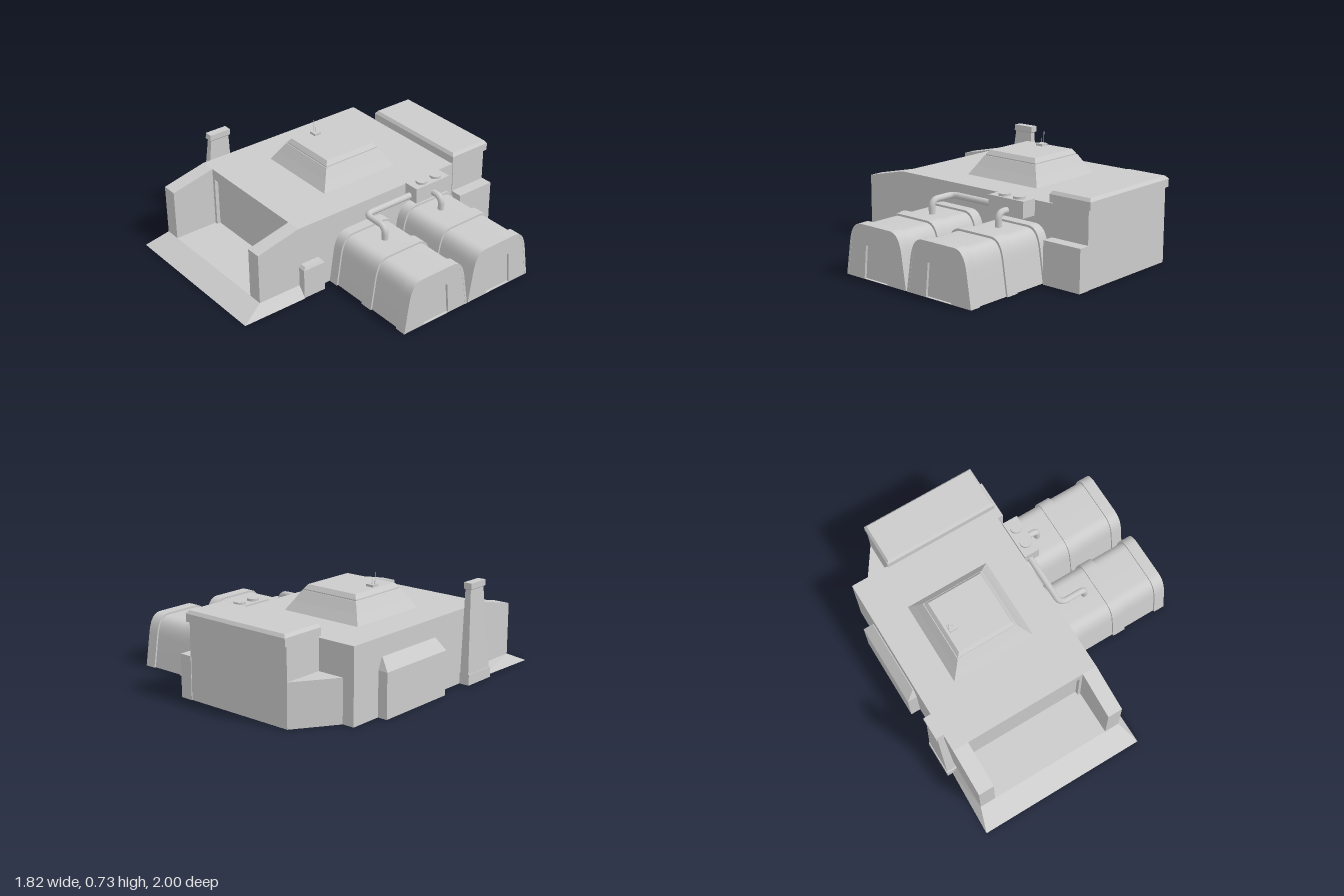
import * as THREE from 'three';
import { toCreasedNormals } from 'three/addons/utils/BufferGeometryUtils.js';

const mat = new THREE.MeshStandardMaterial({ color: 0xcccccc, side: THREE.DoubleSide });

export function createModel() {
  const root = new THREE.Group();

  function add(name, geo, parent = root) {
    const m = new THREE.Mesh(geo, mat);
    m.name = name;
    parent.add(m);
    return m;
  }

  // Flat-shaded surface from convex polygons
  function polys(name, list) {
    const pos = [];
    for (const p of list)
      for (let i = 1; i < p.length - 1; i++) pos.push(...p[0], ...p[i], ...p[i + 1]);
    const g = new THREE.BufferGeometry();
    g.setAttribute('position', new THREE.Float32BufferAttribute(pos, 3));
    g.computeVertexNormals();
    return add(name, g);
  }

  // Stacked rectangles [x0, x1, z0, z1, y], open below, capped on top
  function tiers(name, rects) {
    const loops = rects.map(([a, b, c, d, y]) => [[a, y, d], [b, y, d], [b, y, c], [a, y, c]]);
    const faces = [loops[loops.length - 1]];
    for (let i = 0; i < loops.length - 1; i++)
      for (let j = 0; j < 4; j++) {
        const k = (j + 1) % 4;
        faces.push([loops[i][j], loops[i][k], loops[i + 1][k], loops[i + 1][j]]);
      }
    return polys(name, faces);
  }

  const L = -0.84, R = 0.19, iL = -0.735, iR = 0.09, top = 0.48;
  const quadX = (x, pts) => pts.map(([z, y]) => [x, y, z]);
  const quadZ = (z, x0, x1, y0, y1) => [[x0, y0, z], [x1, y0, z], [x1, y1, z], [x0, y1, z]];
  const quadY = (y, x0, x1, z0, z1) => [[x0, y, z1], [x1, y, z1], [x1, y, z0], [x0, y, z0]];

  // Main hall: side walls run forward into the sloped wings
  const side = [[0.85, 0], [-0.71, 0], [-0.71, top], [0.55, top], [0.85, 0.41]];
  const inner = [[0.55, 0.07], [0.85, 0.07], [0.85, 0.41], [0.55, top]];
  polys('hallWalls', [
    quadX(R, side), quadX(L, side).reverse(),
    quadZ(-0.71, L, R, 0, top).reverse(),
    quadX(iL, inner).reverse(), quadX(iR, inner),
    quadZ(0.85, L, iL, 0.07, 0.41), quadZ(0.85, iR, R, 0.07, 0.41),
    ...[[L, iL], [iR, R]].map(([a, b]) =>
      [[a, 0.41, 0.85], [b, 0.41, 0.85], [b, top, 0.55], [a, top, 0.55]]),
  ]);

  // Roof with an opening under the raised tower
  const tx = -0.3225, tz = -0.1125, th = 0.2875;
  polys('roof', [
    quadY(top, L, tx - th, -0.71, 0.55), quadY(top, tx + th, R, -0.71, 0.55),
    quadY(top, tx - th, tx + th, -0.71, tz - th), quadY(top, tx - th, tx + th, tz + th, 0.55),
  ]);

  // Recessed gate
  polys('gateFrame', [
    quadZ(0.55, iL, -0.715, 0, top), quadZ(0.55, 0.07, iR, 0, top),
    quadZ(0.55, -0.715, 0.07, 0.41, top),
    quadX(-0.715, [[0.55, 0], [0.525, 0], [0.525, 0.41], [0.55, 0.41]]),
    quadX(0.07, [[0.525, 0], [0.55, 0], [0.55, 0.41], [0.525, 0.41]]),
    quadY(0.41, -0.715, 0.07, 0.525, 0.55).reverse(),
  ]);
  polys('gate', [quadZ(0.525, -0.715, 0.07, 0, 0.41)]);

  // Sloped apron around the entrance
  polys('entranceRamp', [
    quadY(0.07, L, R, 0.525, 0.85),
    [[-0.89, 0, 1], [0.245, 0, 1], [R, 0.07, 0.85], [L, 0.07, 0.85]],
    [[0.245, 0, 1], [0.245, 0, 0.55], [R, 0.07, 0.55], [R, 0.07, 0.85]],
    [[-0.875, 0, 0.55], [-0.89, 0, 1], [L, 0.07, 0.85], [L, 0.07, 0.55]],
    [[R, 0, 0.55], [R, 0.07, 0.55], [0.245, 0, 0.55]],
    [[L, 0, 0.55], [-0.875, 0, 0.55], [L, 0.07, 0.55]],
  ]);

  // Raised roof tower
  const ring = (h, y) => [tx - h, tx + h, tz - h, tz + h, y];
  tiers('roofTower', [ring(th, top), ring(0.25, 0.54), ring(0.212, 0.605),
    ring(0.207, 0.605), ring(0.207, 0.612), ring(0.187, 0.64)]);
  tiers('antennaBase', [[-0.49, -0.435, -0.11, -0.06, 0.64], [-0.49, -0.435, -0.11, -0.06, 0.655]]);
  for (const [x, h] of [[-0.485, 0.075], [-0.462, 0.035]])
    add('antenna', new THREE.CylinderGeometry(0.002, 0.002, h, 6)).position.set(x, 0.655 + h / 2, -0.085);

  // Rear annex with bevelled roof slab, side box and corner wedge
  const rear = y => [-0.58, 0.195, -0.98, -0.71, y];
  tiers('rearAnnex', [rear(0), rear(0.49)]);
  tiers('rearRoof', [rear(0.49), [-0.585, 0.205, -1, -0.695, 0.49],
    [-0.585, 0.205, -1, -0.695, 0.54], [-0.57, 0.19, -0.985, -0.71, 0.56]]);
  tiers('rearSideBox', [[0.19, 0.275, -0.985, -0.71, 0], [0.19, 0.275, -0.985, -0.71, 0.275]]);
  polys('rearWedge', [
    [[-0.76, 0, -0.71], [-0.76, 0.28, -0.71], [-0.58, 0.28, -0.98], [-0.58, 0, -0.98]],
    [[-0.76, 0.28, -0.71], [-0.58, 0.28, -0.71], [-0.58, 0.28, -0.98]],
  ]);

  // Side boxes and chimney
  tiers('sideBay', [[-0.905, L, -0.49, 0.08, 0], [-0.905, L, -0.49, 0.08, 0.285],
    [-0.845, L, -0.46, 0.05, 0.36]]);
  tiers('sideVent', [[R, 0.24, 0.39, 0.55, 0], [R, 0.24, 0.39, 0.55, 0.2],
    [R, 0.232, 0.405, 0.535, 0.22]]);
  tiers('chimney', [[-0.91, -0.84, 0.32, 0.555, 0], [-0.91, -0.84, 0.32, 0.555, 0.07],
    [-0.905, -0.845, 0.32, 0.545, 0.07], [-0.895, -0.855, 0.335, 0.47, 0.605],
    [-0.905, -0.85, 0.325, 0.48, 0.612], [-0.905, -0.85, 0.325, 0.475, 0.65]]);

  // Arched storage tanks
  function arch(w, h) {
    const s = new THREE.Shape();
    s.moveTo(-w, 0);
    s.lineTo(-w * 0.87, h * 0.62);
    s.bezierCurveTo(-w * 0.81, h * 0.9, -w * 0.68, h, -w * 0.47, h);
    s.lineTo(w * 0.47, h);
    s.bezierCurveTo(w * 0.68, h, w * 0.81, h * 0.9, w * 0.87, h * 0.62);
    s.lineTo(w, 0);
    return s.getPoints(10);
  }
  function alongX(shape, x0, x1) {
    const g = new THREE.ExtrudeGeometry(shape, { depth: x1 - x0, bevelEnabled: false });
    g.rotateY(Math.PI / 2).translate(x0, 0, 0);
    return toCreasedNormals(g, 0.5);
  }
  const band = (w, h, t) => new THREE.Shape([...arch(w, h), ...arch(w - t, h - t).reverse()]);
  const doorway = () => {
    const s = new THREE.Path();
    s.moveTo(-0.1, 0.002);
    s.lineTo(-0.082, 0.205);
    s.quadraticCurveTo(-0.08, 0.222, -0.065, 0.222);
    s.lineTo(0.065, 0.222);
    s.quadraticCurveTo(0.08, 0.222, 0.082, 0.205);
    s.lineTo(0.1, 0.002);
    return s;
  };
  for (const z of [0.06, -0.455]) {
    const tank = new THREE.Group();
    tank.name = 'storageTank';
    tank.position.z = z;
    root.add(tank);
    add('tankShell', alongX(band(0.242, 0.327, 0.01), 0.19, 0.88), tank);
    for (const [a, b] of [[0.19, 0.26], [0.505, 0.592], [0.83, 0.905]])
      add('tankRib', alongX(band(0.254, 0.34, 0.015), a, b), tank);
    const end = new THREE.Shape(arch(0.25, 0.336));
    end.holes.push(doorway());
    add('tankEnd', alongX(end, 0.885, 0.904), tank);
    add('tankDoor', alongX(new THREE.Shape(doorway().getPoints(5)), 0.882, 0.888), tank);
  }

  // Valve box, caps and pipes
  add('valveBox', new THREE.BoxGeometry(0.107, 0.105, 0.275)).position.set(0.247, 0.437, -0.4375);
  for (const z of [-0.502, -0.385])
    add('valveCap', new THREE.CylinderGeometry(0.038, 0.038, 0.016, 24)).position.set(0.25, 0.497, z);

  function pipe(pts, bend = 0.05) {
    const v = pts.map(p => new THREE.Vector3(...p));
    const path = new THREE.CurvePath();
    let from = v[0];
    for (let i = 1; i < v.length - 1; i++) {
      const a = v[i].clone().add(v[i - 1].clone().sub(v[i]).setLength(bend));
      const b = v[i].clone().add(v[i + 1].clone().sub(v[i]).setLength(bend));
      path.add(new THREE.LineCurve3(from, a));
      path.add(new THREE.QuadraticBezierCurve3(a, v[i], b));
      from = b;
    }
    path.add(new THREE.LineCurve3(from, v[v.length - 1]));
    add('pipe', new THREE.TubeGeometry(path, 60, 0.021, 12));
  }
  pipe([[0.235, 0.415, -0.31], [0.235, 0.415, 0.06], [0.42, 0.415, 0.06], [0.42, 0.32, 0.06]]);
  pipe([[0.29, 0.415, -0.445], [0.375, 0.415, -0.445], [0.375, 0.32, -0.445]]);

  return root;
}
